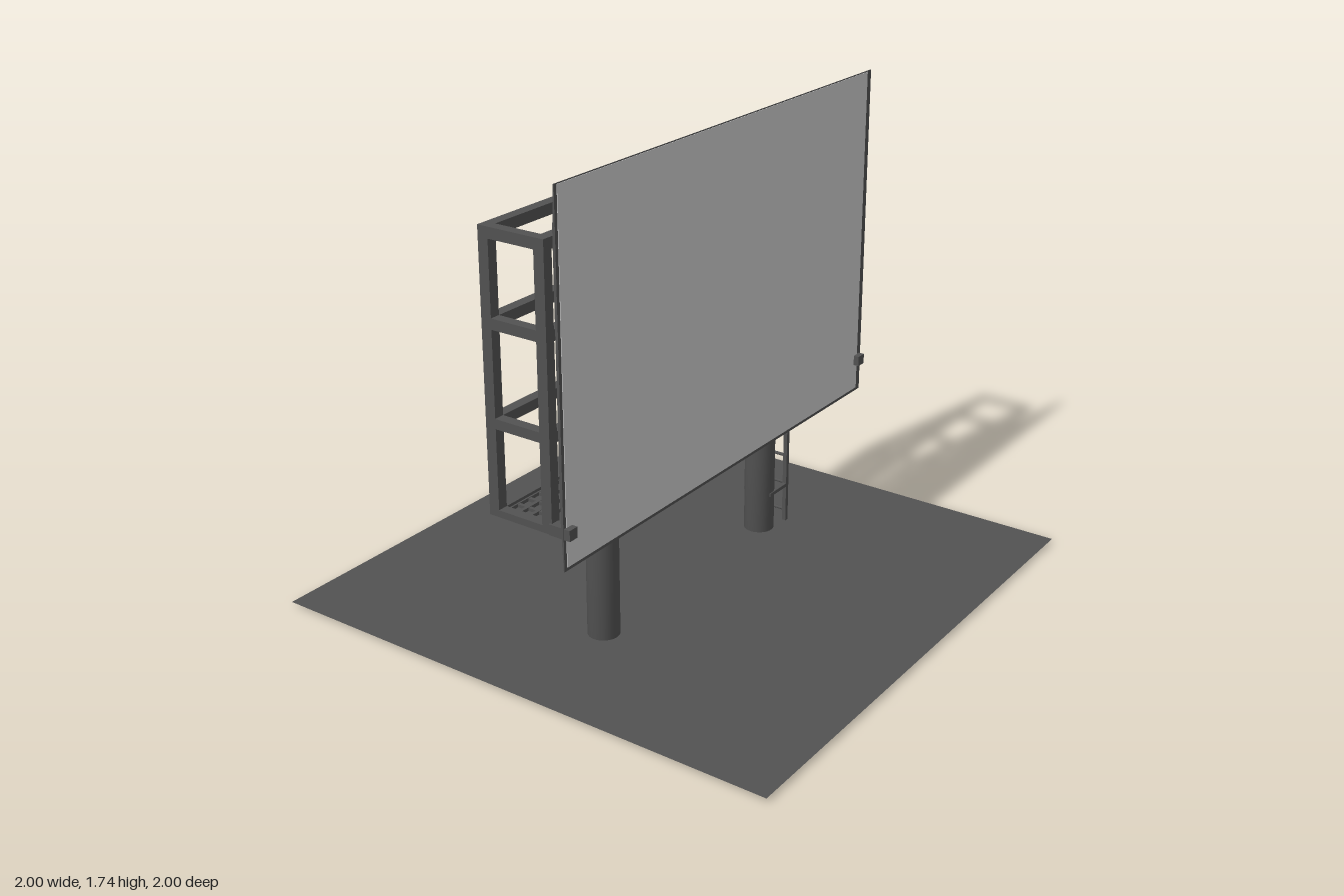
import * as THREE from 'three';

export function createModel() {
  const model = new THREE.Group();
  const dark = new THREE.MeshStandardMaterial({ color: 0x525252 });
  const darkSheet = new THREE.MeshStandardMaterial({ color: 0x525252, side: THREE.DoubleSide });
  const light = new THREE.MeshStandardMaterial({ color: 0xcccccc });

  const add = (name, geometry, parent = model, mat = dark) => {
    const mesh = new THREE.Mesh(geometry, mat);
    mesh.name = name;
    parent.add(mesh);
    return mesh;
  };
  // Box given by its extents along each axis
  const box = (name, [x0, x1], [y0, y1], [z0, z1], parent = model, mat = dark) =>
    add(name, new THREE.BoxGeometry(x1 - x0, y1 - y0, z1 - z0), parent, mat)
      .position.set((x0 + x1) / 2, (y0 + y1) / 2, (z0 + z1) / 2);
  const group = (name) => {
    const g = new THREE.Group();
    g.name = name;
    model.add(g);
    return g;
  };

  // Ground sheet
  const ground = add('ground', new THREE.PlaneGeometry(2, 2), model, darkSheet);
  ground.rotation.x = -Math.PI / 2;
  ground.position.y = 0.015;

  // Round columns with flared heads
  const profile = [[0, 0.013], [0.057, 0.013], [0.057, 0.53], [0.06, 0.55],
    [0.07, 0.572], [0.08, 0.586], [0.096, 0.588], [0.096, 0.602], [0, 0.602]]
    .map(([r, y]) => new THREE.Vector2(r, y));
  for (const z of [0.525, -0.45]) {
    add('column', new THREE.LatheGeometry(profile, 32)).position.set(0.03, 0, z);
  }

  // Open frame: end posts, cross bars and long rails at four levels
  const frame = group('frame');
  const sides = [[-0.097, -0.058], [0.118, 0.157]];
  const ends = [[-0.862, -0.825], [0.898, 0.935]];
  const levels = [[0.6, 0.625], [0.905, 0.94], [1.235, 1.272], [1.525, 1.563]];
  for (const z of ends) {
    for (const x of sides) box('endPost', x, [0.6, 1.563], z, frame);
    for (const y of levels) box('crossBar', [-0.058, 0.118], y, z, frame);
  }
  for (const x of sides) {
    for (const y of levels) box('longRail', x, y, [-0.825, 0.898], frame);
  }

  // Walkway grating, 4 by 33 cells
  const grating = group('walkwayGrating');
  const x0 = -0.058, x1 = 0.118, z0 = -0.825, z1 = 0.898, half = 0.006;
  for (let i = 0; i <= 4; i++) {
    const x = x0 + (x1 - x0) * i / 4;
    box('gratingLongBar', [x - half, x + half], [0.603, 0.615], [z0, z1], grating);
  }
  for (let i = 0; i <= 33; i++) {
    const z = z0 + (z1 - z0) * i / 33;
    box('gratingCrossBar', [x0, x1], [0.603, 0.614], [z - half, z + half], grating);
  }

  // Display panel: dark backing tapered at top and bottom, with a light flat face
  const section = new THREE.Shape([[0.209, 0.49], [0.209, 1.74], [0.206, 1.74],
    [0.199, 1.6], [0.199, 0.66], [0.206, 0.49]].map(([x, y]) => new THREE.Vector2(x, y)));
  add('panelBacking', new THREE.ExtrudeGeometry(section, { depth: 1.815, bevelEnabled: false }))
    .position.z = -0.872;
  box('panelFace', [0.207, 0.211], [0.502, 1.737], [-0.845, 0.93], model, light);

  // Brackets holding the panel
  for (const z of [[-0.862, -0.822], [0.903, 0.941]]) {
    box('panelBracket', [0.15, 0.232], [0.602, 0.64], z);
  }

  // Ladder with rungs and stand-offs clasping the column
  const ladder = group('ladder');
  for (const s of [-1, 1]) {
    const x = 0.03 + s * 0.052;
    box('ladderRail', [x - 0.008, x + 0.008], [0, 0.605], [-0.562, -0.546], ladder);
    for (const y of [0.167, 0.397]) {
      box('standOff', [x - 0.008, x + 0.008], [y - 0.007, y + 0.007], [-0.55, -0.435], ladder);
    }
  }
  for (let i = 0; i < 5; i++) {
    const rung = add('rung', new THREE.CylinderGeometry(0.006, 0.006, 0.104, 10), ladder);
    rung.rotation.z = Math.PI / 2;
    rung.position.set(0.03, 0.06 + i * 0.114, -0.554);
  }

  // Thin loose cable winding along the walkway, dropping to the column
  const points = [[0.03, 0.42, -0.4], [0.03, 0.5, -0.38], [0.045, 0.6, -0.37]];
  for (let i = 0; i <= 18; i++) {
    const a = i * 0.8;
    points.push([0.05 + 0.008 * Math.sin(a), 0.64 + 0.008 * Math.cos(a), -0.34 + i * 0.0385]);
  }
  const path = new THREE.CatmullRomCurve3(points.map((p) => new THREE.Vector3(...p)));
  add('cable', new THREE.TubeGeometry(path, 100, 0.0015, 6));

  return model;
}
